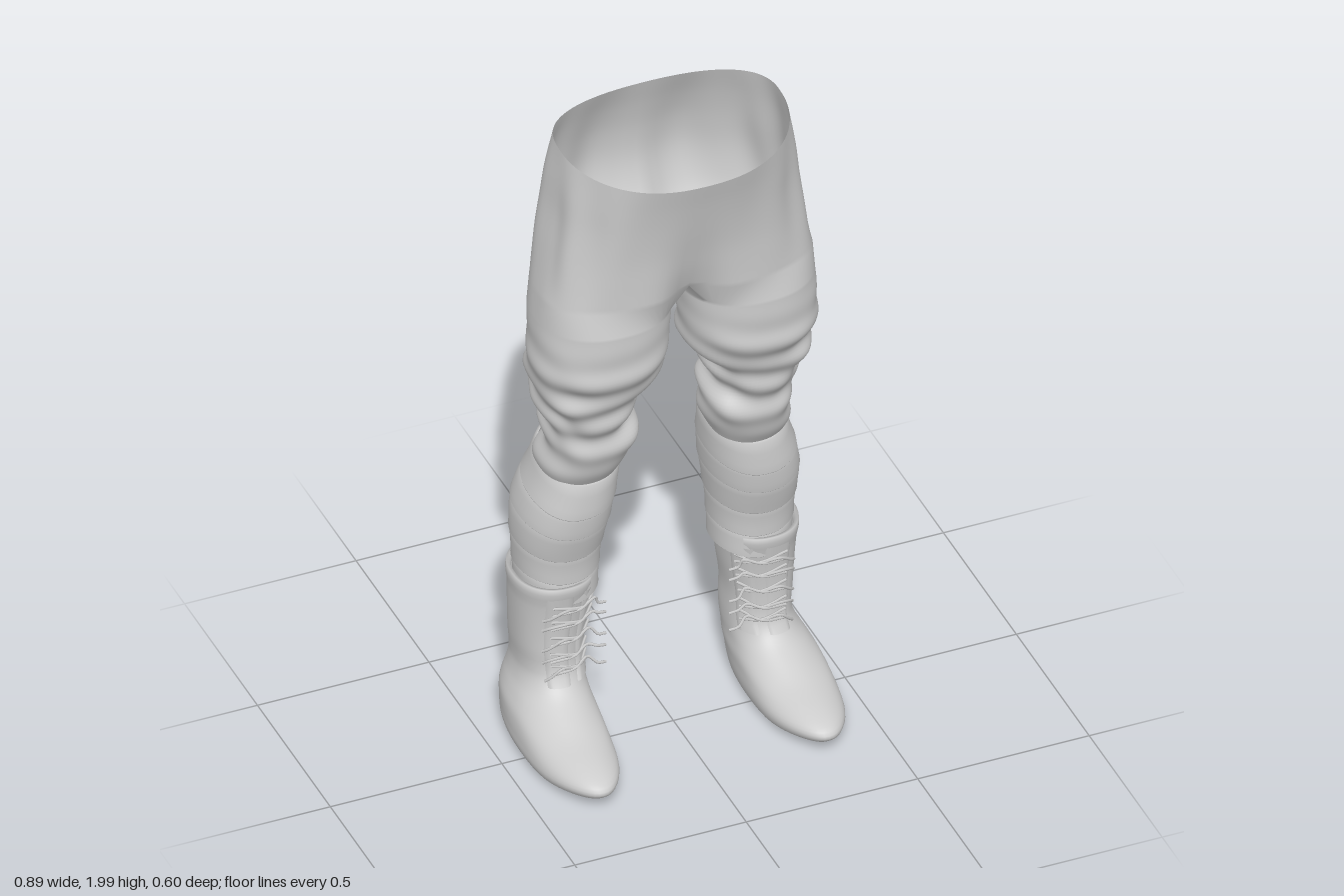
import * as THREE from 'three';
import { mergeGeometries, mergeVertices } from 'three/addons/utils/BufferGeometryUtils.js';

const cloth = new THREE.MeshStandardMaterial({ color: 0xcccccc, side: THREE.DoubleSide });
cloth.name = 'light grey';

const { lerp, smoothstep, degToRad } = THREE.MathUtils;
const V = (x, y, z) => new THREE.Vector3(x, y, z);
const spow = (v, e) => Math.sign(v) * Math.abs(v) ** e;
const bell = (v, w) => Math.exp(-((v / w) ** 2));

// Profile rows [y, ...values], top first, read as a smooth curve over y
function profile(rows) {
  const up = [...rows].reverse(), size = rows[0].length - 1;
  const curve = new THREE.CubicInterpolant(
    Float32Array.from(up.map(r => r[0])), Float32Array.from(up.flatMap(r => r.slice(1))), size, new Float32Array(size));
  return y => Array.from(curve.evaluate(y));
}

// Surface through rows of points, running downwards
function skin(rows, closed) {
  const n = rows[0].length, index = [];
  for (let r = 0; r < rows.length - 1; r++) {
    for (let c = 0; c < (closed ? n : n - 1); c++) {
      const a = r * n + c, d = r * n + (c + 1) % n;
      index.push(a, a + n, d, a + n, d + n, d);
    }
  }
  const g = new THREE.BufferGeometry().setFromPoints(rows.flat());
  g.setIndex(index);
  g.computeVertexNormals();
  return g;
}

function mirrored(g) {
  const m = g.clone().scale(-1, 1, 1), i = m.index.array;
  for (let k = 0; k < i.length; k += 3) [i[k], i[k + 1]] = [i[k + 1], i[k]];
  return m;
}

// Limb section: values are inner x, outer x, back z, front z
function limbPoint(values, y, phi, off = 0, e = 0.9) {
  const [xi, xo, zb, zf] = values;
  const c = Math.cos(phi), s = Math.sin(phi);
  return V((xi + xo) / 2 + ((xo - xi) / 2 + off) * spow(c, e), y, (zb + zf) / 2 + ((zf - zb) / 2 + off) * spow(s, e));
}
const ring = (n, f) => Array.from({ length: n }, (_, i) => f(-i / n * Math.PI * 2));
const steps = (n, from, to) => Array.from({ length: n + 1 }, (_, i) => lerp(from, to, i / n));

const hip = profile([ // y, half width, back z, front z
  [2.0, .325, -.2, .24], [1.9, .34, -.235, .215], [1.8, .35, -.26, .195],
  [1.7, .365, -.268, .18], [1.6, .38, -.25, .172], [1.53, .392, -.222, .168]]);
const leg = profile([
  [1.46, .018, .4, -.2, .165], [1.35, .028, .405, -.185, .163], [1.28, .035, .405, -.19, .155],
  [1.22, .07, .388, -.205, .125], [1.17, .1, .39, -.2, .115], [1.11, .12, .355, -.18, .085],
  [1.05, .105, .355, -.175, .08], [1.0, .1, .345, -.17, .07], [.93, .125, .36, -.205, .045], [.87, .14, .35, -.22, .01]]);
const calf = profile([
  [1.0, .125, .34, -.19, .02], [.88, .133, .36, -.235, .02], [.78, .143, .39, -.27, .02],
  [.7, .155, .4, -.275, .006], [.6, .17, .395, -.262, -.025], [.45, .18, .385, -.257, -.035]]);
const boot = profile([
  [.525, .185, .41, -.272, -.015], [.4, .2, .405, -.275, -.035], [.3, .215, .4, -.28, -.04],
  [.22, .215, .395, -.286, -.03], [.18, .215, .405, -.29, .005], [.15, .215, .42, -.295, .06],
  [.12, .212, .435, -.298, .13], [.09, .212, .442, -.3, .22], [.06, .212, .445, -.3, .29],
  [.04, .215, .445, -.297, .3], [.02, .225, .435, -.29, .275], [.01, .25, .41, -.27, .24]]);

// Half of the trousers: open hip arc above, closed leg tube below the crotch
function trouserHalf() {
  const M = 56, K = 14, split = degToRad(140);
  const hipRow = y => {
    const [w, zb, zf] = hip(y), t = (2 - y) / .47, cz = -.02;
    return steps(M, Math.PI / 2, -Math.PI / 2).map((phi, i) => {
      const c = Math.cos(phi), s = Math.sin(phi);
      const fold = .006 * Math.sin(phi * 11 + 2 * y) * Math.sin(Math.PI * t) * c;
      const x = i === 0 || i === M ? 0 : (w + fold) * spow(c, lerp(.85, .75, t));
      let z = cz + ((s > 0 ? zf - cz : cz - zb) + fold) * spow(s, s > 0 ? lerp(.95, .65, t) : .75);
      // Seat, cleft and fly hollow
      if (s > 0) z -= .06 * t ** 3 * bell(x, .07) * s;
      else z -= -s * (.018 * bell(x - .13, .07) * Math.sin(Math.PI * t) - (.02 * t + .04 * t ** 4) * bell(x, .05));
      return V(x, y - .05 * ((z + .2) / .44) ** 2 * (1 - t), z);
    });
  };
  const hipRows = steps(28, 2, 1.53).map(hipRow);
  const edge = hipRows[hipRows.length - 1], front = edge[0], back = edge[M];
  const crotch = steps(K, 0, 1).slice(1, -1).map(k =>
    V(0, 1.53 - .02 * Math.sin(Math.PI * k), lerp(back.z, front.z, k)));
  const angles = [...steps(M, split, -split), ...steps(K, -split, split - 2 * Math.PI).slice(1, -1)];
  const legRows = steps(64, 1.46, .87).map(y => angles.map(phi => {
    // Bunched cloth around the knee
    const amp = .011 * bell(y - 1.15, .16);
    const wave = Math.sin(62 * y + 2.2 * Math.sin(phi + .5)) + .5 * Math.sin(38 * y - 3 * Math.cos(phi * 2));
    return limbPoint(leg(y), y, phi, amp * wave, .88);
  }));
  return [skin(hipRows, false), skin([[...edge, ...crotch], ...legRows], true)];
}

function trousers() {
  const halves = trouserHalf();
  const g = mergeGeometries([...halves, ...halves.map(mirrored)]);
  g.deleteAttribute('normal');
  const welded = mergeVertices(g, 1e-4);
  welded.computeVertexNormals();
  return welded;
}

// One turn of cloth, tilted up towards the back, its lower edge lapping outwards
function wrapBand(top, bottom, tilt) {
  const rows = [[0, -.004], [.02, .004], [.35, .006], [.75, .006], [.97, .008], [1, .006], [.97, -.004]];
  return skin(rows.map(([t, off]) => ring(56, phi => {
    const y = lerp(top, bottom, t) - tilt * Math.sin(phi) + .004 * Math.sin(3 * phi);
    return limbPoint(calf(y), y, phi, off);
  })), true);
}

const bootPoint = (y, phi, off = 0) => {
  const p = limbPoint(boot(y), y, phi, off), low = 1 - smoothstep(y, .12, .24);
  const toe = Math.max(0, Math.sin(phi));
  p.x += (.325 - p.x) * .22 * toe ** 3 * low;
  p.y += .015 * smoothstep(p.z, .1, .3) * low;
  return p;
};

function bootBody() {
  const rows = [ring(56, phi => bootPoint(.5, phi, -.012)), ring(56, phi => bootPoint(.524, phi, -.008))];
  for (const y of [...steps(16, .524, .23), ...steps(26, .22, .01)]) {
    rows.push(ring(56, phi => bootPoint(y, phi, .004 * bell(y - .5, .02))));
  }
  rows.push(ring(56, () => V(.325, .01, 0)));
  return skin(rows, true);
}

// Eyelet flap hugging the shaft between two angles
const flap = (from, to) => skin(steps(14, .49, .2).map(y =>
  steps(8, to, from).map((d, i) => bootPoint(y, degToRad(d), i % 8 ? .006 : .001))), false);

function laces() {
  const tube = pts => new THREE.TubeGeometry(new THREE.CatmullRomCurve3(pts), 10, .0042, 5);
  const parts = [];
  [.45, .4, .345, .29, .25].forEach((y, i) => {
    const at = (d, dy, off = .011) => bootPoint(y + dy, degToRad(d), off);
    const sway = i % 2 ? .01 : -.006;
    parts.push(
      tube([at(72, .014), at(107, 0, .016), at(142, -.014)]),
      tube([at(72, -.014), at(107, 0, .02), at(142, .014)]),
      // Loose ends
      tube([at(112, 0, .016), at(128, .012, .024), V(.205, y - .005 + sway, -.035), V(.18, y - .012 + sway, -.04)]),
      tube([at(100, 0, .016), at(86, .012, .026), at(70, -.008 + sway, .022), at(60, -.022 + sway, .016)]));
  });
  return mergeGeometries(parts);
}

export function createModel() {
  const model = new THREE.Group();
  model.name = 'trousersAndBoots';
  const add = (parent, name, geometry) => {
    const mesh = new THREE.Mesh(geometry, cloth);
    mesh.name = name;
    parent.add(mesh);
  };
  add(model, 'trousers', trousers());

  // Wraps and boots, built for the left and mirrored to the right
  const parts = [
    ['legWrap', wrapBand(.93, .82, .045)], ['legWrap', wrapBand(.83, .735, .03)],
    ['legWrap', wrapBand(.745, .635, .02)], ['legWrap', wrapBand(.645, .545, .012)], ['legWrap', wrapBand(.555, .47, .01)],
    ['boot', bootBody()], ['eyeletFlap', flap(62, 99)], ['eyeletFlap', flap(115, 152)], ['laces', laces()]];
  for (const side of ['left', 'right']) {
    const lower = new THREE.Group();
    lower.name = side + 'LowerLeg';
    for (const [name, g] of parts) add(lower, name, side === 'left' ? g : mirrored(g));
    model.add(lower);
  }
  return model;
}
